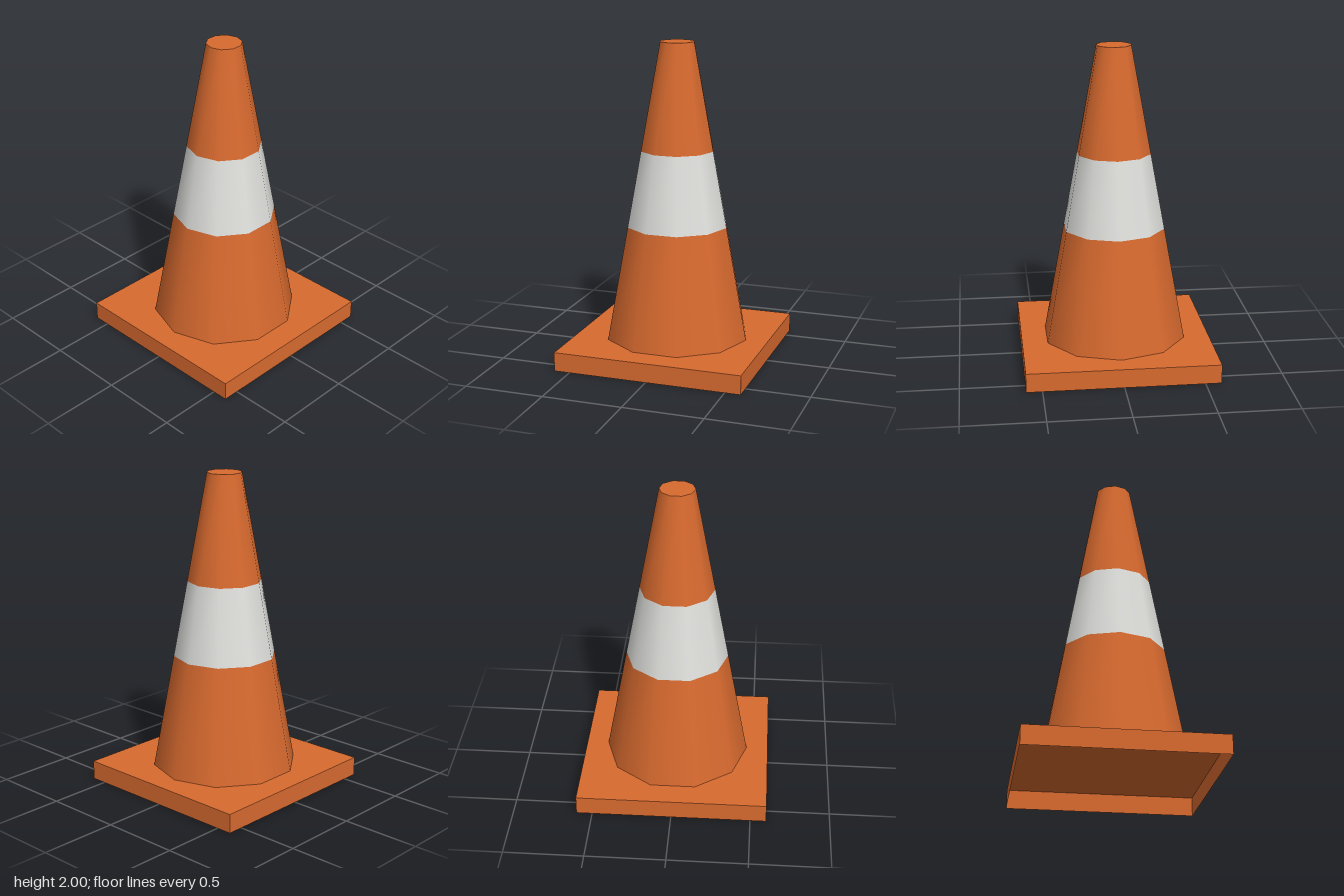
import * as THREE from 'three';

export function createModel() {
  const model = new THREE.Group();
  model.name = 'trafficCone';
  const orange = new THREE.MeshStandardMaterial({ color: 0xd86a2f, side: THREE.DoubleSide });
  orange.name = 'orange';
  const white = new THREE.MeshStandardMaterial({ color: 0xe0e0dd, side: THREE.DoubleSide });
  white.name = 'white';

  const add = (name, geometry, material, y) => {
    const mesh = new THREE.Mesh(geometry, material);
    mesh.name = name;
    mesh.position.y = y;
    model.add(mesh);
  };

  // Square base, hollow and open underneath (the fourth box side is left out)
  const baseHeight = 0.12, height = 2, sides = 10;
  const base = new THREE.BoxGeometry(1.2, baseHeight, 1.2);
  const index = Array.from(base.index.array);
  index.splice(18, 6);
  base.setIndex(index);
  base.clearGroups();
  add('base', base, orange, baseHeight / 2);

  // Ten-sided tapering body, split into coloured bands
  const radiusAt = (y) => THREE.MathUtils.mapLinear(y, baseHeight, height, 0.46, 0.11);
  const bands = [
    ['lowerBody', baseHeight, 0.845, orange],
    ['reflectiveBand', 0.845, 1.325, white],
    ['upperBody', 1.325, height, orange],
  ];
  for (const [name, y0, y1, material] of bands) {
    const band = new THREE.CylinderGeometry(radiusAt(y1), radiusAt(y0), y1 - y0, sides, 1, true);
    add(name, band, material, (y0 + y1) / 2);
  }

  // Flat closed tip, corners aligned with the body
  const tip = new THREE.CircleGeometry(radiusAt(height), sides, Math.PI / 2);
  tip.rotateX(-Math.PI / 2);
  add('tip', tip, orange, height);

  return model;
}
